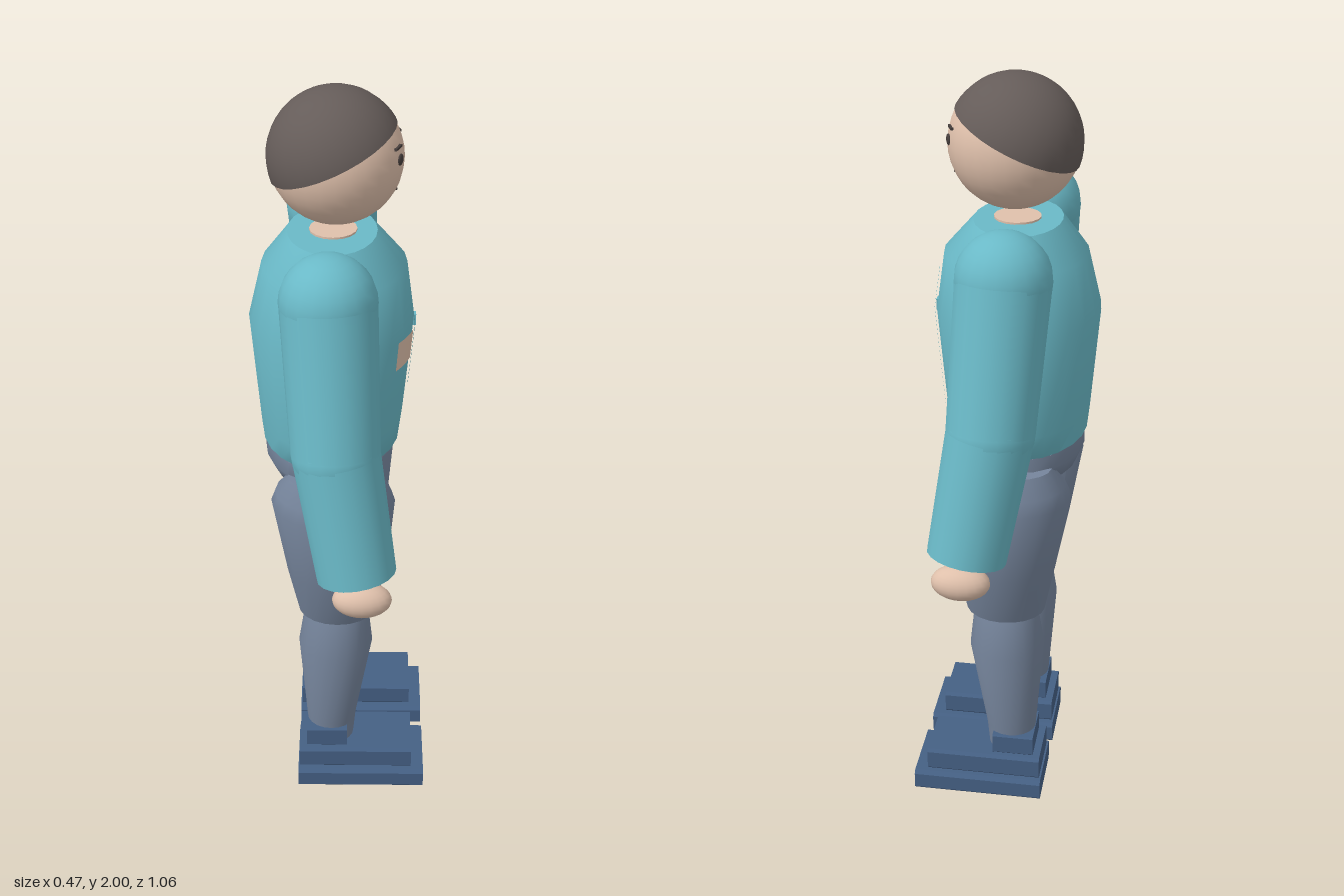
import * as THREE from 'three';
import { toCreasedNormals } from 'three/addons/utils/BufferGeometryUtils.js';

const mat = (name, color, side = THREE.FrontSide) => {
  const m = new THREE.MeshStandardMaterial({ color, side });
  m.name = name;
  return m;
};

// Closed loft of ellipses, rings from bottom to top: [y, xMin, xMax, zMin, zMax]
function loft(rings, n = 20) {
  const pos = [], idx = [];
  const mid = ([y, x0, x1, z0, z1]) => [(x0 + x1) / 2, y, (z0 + z1) / 2];
  for (const r of rings) {
    const [cx, y, cz] = mid(r);
    for (let j = 0; j < n; j++) {
      const t = (j / n) * Math.PI * 2;
      pos.push(cx + (r[2] - r[1]) / 2 * Math.cos(t), y, cz + (r[4] - r[3]) / 2 * Math.sin(t));
    }
  }
  const last = rings.length - 1, bottom = rings.length * n, top = bottom + 1;
  pos.push(...mid(rings[0]), ...mid(rings[last]));
  for (let j = 0; j < n; j++) {
    const k = (j + 1) % n;
    for (let i = 0; i < last; i++) {
      const a = i * n + j, b = i * n + k;
      idx.push(a, a + n, b, b, a + n, b + n);
    }
    idx.push(bottom, j, k, top, last * n + k, last * n + j);
  }
  const g = new THREE.BufferGeometry();
  g.setAttribute('position', new THREE.Float32BufferAttribute(pos, 3));
  g.setIndex(idx);
  return toCreasedNormals(g, 0.7);
}

// Block with chamfered long edges, running along x
function chamferBlock(x0, x1, y0, y1, z0, z1, c) {
  const s = new THREE.Shape([[z0 + c, y0], [z1 - c, y0], [z1, y0 + c], [z1, y1 - c],
    [z1 - c, y1], [z0 + c, y1], [z0, y1 - c], [z0, y0 + c]].map(([z, y]) => new THREE.Vector2(-z, y)));
  const g = new THREE.ExtrudeGeometry(s, { depth: x1 - x0, bevelEnabled: false });
  return g.rotateY(Math.PI / 2).translate(x0, 0, 0);
}

const TORSO = [
  [1.02, -0.15, 0.115, -0.18, 0.18], [1.065, -0.205, 0.152, -0.222, 0.222],
  [1.13, -0.212, 0.16, -0.238, 0.238], [1.4, -0.235, 0.185, -0.24, 0.24],
  [1.55, -0.2, 0.165, -0.2, 0.2], [1.635, -0.135, 0.09, -0.15, 0.15],
];

// Point on the chest at a given height and side position
function chestX(y, z) {
  let i = 0;
  while (i < TORSO.length - 2 && TORSO[i + 1][0] < y) i++;
  const a = TORSO[i], b = TORSO[i + 1], t = (y - a[0]) / (b[0] - a[0]);
  const [, x0, x1, , rz] = a.map((v, k) => v + (b[k] - v) * t);
  return (x0 + x1) / 2 + (x1 - x0) / 2 * Math.sqrt(Math.max(0, 1 - (z / rz) ** 2));
}

// Thin plate that follows the chest
function chestPlate(z0, z1, y0, y1, lift) {
  const g = new THREE.PlaneGeometry(1, 1, 3, 8), p = g.attributes.position;
  for (let i = 0; i < p.count; i++) {
    const z = z1 + (z0 - z1) * (p.getX(i) + 0.5);
    const y = y0 + (y1 - y0) * (p.getY(i) + 0.5);
    p.setXYZ(i, chestX(y, z) + lift, y, z);
  }
  g.computeVertexNormals();
  return g;
}

export function createModel() {
  const teal = mat('teal jacket', 0x6ab9c7);
  const tealTrim = teal;
  const skin = mat('skin', 0xdfc0ab);
  const hair = mat('dark hair', 0x655c59);
  const trousers = mat('slate trousers', 0x76859c);
  const shoe = mat('navy shoe', 0x456084);
  const dark = mat('face marks', 0x463e3c);

  const model = new THREE.Group();
  model.name = 'standingFigure';
  const add = (parent, name, geo, material, x = 0, y = 0, z = 0) => {
    const m = new THREE.Mesh(geo, material);
    m.name = name;
    m.position.set(x, y, z);
    parent.add(m);
    return m;
  };
  const limb = (parent, name, a, b, ra, rb, material) => {
    const d = b.clone().sub(a);
    const m = add(parent, name, new THREE.CylinderGeometry(rb, ra, d.length(), 20), material);
    m.position.copy(a).addScaledVector(d, 0.5);
    m.quaternion.setFromUnitVectors(new THREE.Vector3(0, 1, 0), d.normalize());
  };

  // Torso, collar and hips
  add(model, 'torso', loft(TORSO, 24), teal);
  add(model, 'neckOpening', new THREE.CylinderGeometry(0.06, 0.06, 0.006, 16), skin, -0.02, 1.637, 0);
  add(model, 'hips', loft([[0.92, -0.1, 0.06, -0.08, 0.08], [0.97, -0.18, 0.1, -0.17, 0.17],
    [1.02, -0.2, 0.115, -0.215, 0.215], [1.062, -0.198, 0.12, -0.215, 0.215]]), trousers);

  // Jacket details
  add(model, 'chestPatch', chestPlate(0.08, 0.155, 1.32, 1.4, 0.008), skin);
  add(model, 'jacketSeam', chestPlate(0.048, 0.055, 1.23, 1.51, 0.006), tealTrim);
  add(model, 'jacketPlacket', chestPlate(-0.08, -0.05, 1.09, 1.4, 0.006), tealTrim);
  add(model, 'upperSeam', chestPlate(-0.055, -0.048, 1.4, 1.51, 0.006), tealTrim);
  add(model, 'zipPull', new THREE.BoxGeometry(0.012, 0.03, 0.02), tealTrim, 0.184, 1.39, 0);

  // Head with tilted cap of hair
  const head = new THREE.Group();
  head.name = 'head';
  head.position.set(-0.013, 1.83, 0);
  model.add(head);
  add(head, 'face', new THREE.SphereGeometry(0.166, 28, 20), skin);
  const cap = new THREE.Group();
  cap.name = 'hair';
  cap.rotation.z = 0.44;
  head.add(cap);
  const theta = 1.485, R = 0.17;
  add(cap, 'hairCap', new THREE.SphereGeometry(R, 28, 12, 0, Math.PI * 2, 0, theta), hair);
  add(cap, 'hairUnderside', new THREE.CircleGeometry(R * Math.sin(theta), 28).rotateX(Math.PI / 2),
    hair, 0, R * Math.cos(theta), 0);

  // Face marks, each turned to lie on the head
  const mark = (name, geo, y, z) => {
    const dir = new THREE.Vector3(Math.sqrt(0.166 ** 2 - y * y - z * z), y, z);
    const m = add(head, name, geo, dark);
    m.position.copy(dir);
    m.rotation.y = -Math.atan2(z, dir.x);
  };
  for (const s of [1, -1]) {
    mark('eye', new THREE.SphereGeometry(0.015, 12, 8).scale(0.35, 0.95, 1), 0.014, s * 0.06);
    mark('eyebrow', new THREE.BoxGeometry(0.008, 0.006, 0.035), 0.045, s * 0.062);
    mark('mouthMark', new THREE.SphereGeometry(0.004, 8, 6), -0.077, s * 0.02);
  }

  for (const s of [1, -1]) {
    const side = s > 0 ? 'right' : 'left';

    // Arm
    const arm = new THREE.Group();
    arm.name = side + 'Arm';
    model.add(arm);
    const shoulder = new THREE.Vector3(-0.028, 1.578, s * 0.282);
    const elbow = new THREE.Vector3(-0.01, 1.22, s * 0.373);
    const wrist = new THREE.Vector3(0.042, 0.9, s * 0.432);
    add(arm, 'shoulder', new THREE.SphereGeometry(0.119, 20, 14), teal).position.copy(shoulder);
    limb(arm, 'upperArm', elbow, shoulder, 0.11, 0.118, teal);
    add(arm, 'elbow', new THREE.SphereGeometry(0.11, 20, 14), teal).position.copy(elbow);
    limb(arm, 'forearm', wrist, elbow, 0.1, 0.109, teal);
    add(arm, 'hand', new THREE.SphereGeometry(1, 20, 14).scale(0.075, 0.046, 0.047), skin,
      0.056, 0.83, s * 0.445);

    // Leg
    const leg = new THREE.Group();
    leg.name = side + 'Leg';
    model.add(leg);
    const mirror = rings => rings.map(([y, x0, x1, a, b]) => (s > 0 ? [y, x0, x1, a, b] : [y, x0, x1, -b, -a]));
    add(leg, 'thigh', loft(mirror([
      [0.57, -0.115, 0.097, 0.035, 0.217], [0.73, -0.147, 0.125, 0.003, 0.275],
      [0.93, -0.182, 0.142, 0.003, 0.29], [0.97, -0.17, 0.13, 0.04, 0.28],
      [1.025, -0.135, 0.1, 0.1, 0.258],
    ])), trousers);
    add(leg, 'shin', loft(mirror([
      [0.125, -0.09, 0.035, 0.08, 0.192], [0.2, -0.095, 0.042, 0.073, 0.2],
      [0.46, -0.115, 0.087, 0.035, 0.236], [0.572, -0.098, 0.075, 0.065, 0.208],
    ])), trousers);

    // Shoe
    const block = (name, x0, x1, y0, y1, a, b, c) =>
      add(leg, name, chamferBlock(x0, x1, y0, y1, Math.min(s * a, s * b), Math.max(s * a, s * b), c), shoe);
    block('sole', -0.12, 0.235, 0, 0.062, 0.033, 0.238, 0.01);
    block('shoeUpper', -0.115, 0.2, 0.062, 0.128, 0.052, 0.222, 0.008);
    block('heelCollar', -0.095, 0.018, 0.128, 0.187, 0.07, 0.205, 0.004);
  }
  return model;
}
